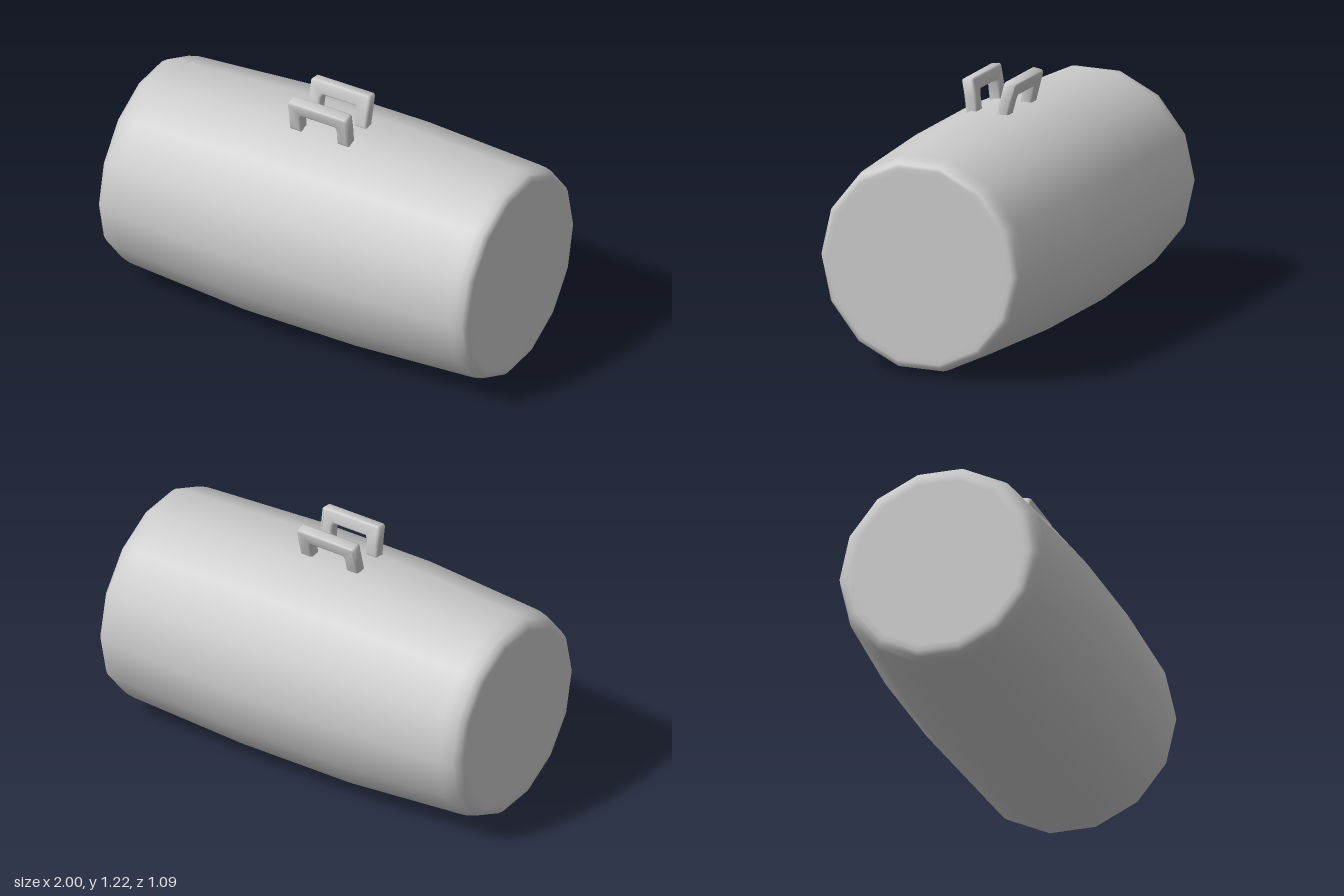
import * as THREE from 'three';
import { toCreasedNormals } from 'three/addons/utils/BufferGeometryUtils.js';

const material = new THREE.MeshStandardMaterial({ color: 0xcccccc });
const CENTRE_Y = 0.535;

// Padded barrel: 14-sided lathe laid along x, the right end a little softer
function makeBody() {
  const profile = [
    [0, -1], [0.42, -1], [0.45, -1], [0.475, -0.99], [0.493, -0.965], [0.505, -0.92], [0.508, -0.89],
    [0.547, -0.29], [0.547, 0.31],
    [0.519, 0.91], [0.516, 0.945], [0.508, 0.98], [0.492, 0.997], [0.475, 1], [0.45, 1], [0, 1],
  ].map(([r, x]) => new THREE.Vector2(r, x));
  const geometry = new THREE.LatheGeometry(profile, 14);
  geometry.rotateZ(-Math.PI / 2);
  const body = new THREE.Mesh(geometry, material);
  body.name = 'bagBody';
  body.position.y = CENTRE_Y;
  return body;
}

// Square carry handle; lean lists [y, z] along the leg, followed by bending
function makeHandle(name, lean) {
  const outline = [
    [-0.155, 1.06], [-0.09, 1.06], [-0.09, 1.14], [-0.083, 1.155],
    [0.093, 1.155], [0.1, 1.14], [0.1, 1.06], [0.165, 1.06],
    [0.165, 1.14], [0.165, 1.212], [0.155, 1.222],
    [-0.145, 1.222], [-0.155, 1.212], [-0.155, 1.14],
  ].map(([x, y]) => new THREE.Vector2(x, y));
  const bevel = 0.012, depth = 0.06;
  const geometry = new THREE.ExtrudeGeometry(new THREE.Shape(outline), {
    depth: depth - 2 * bevel, bevelEnabled: true, bevelThickness: bevel,
    bevelSize: bevel, bevelOffset: -bevel, bevelSegments: 2,
  });
  geometry.translate(0, 0, bevel - depth / 2);

  // Shift each height to its place on the leaning line
  const p = geometry.attributes.position;
  for (let i = 0; i < p.count; i++) {
    const y = p.getY(i);
    const k = y < lean[1][0] ? 0 : 1;
    const [y0, z0] = lean[k], [y1, z1] = lean[k + 1];
    const z = p.getZ(i);
    p.setZ(i, z + z0 + (z1 - z0) * (y - y0) / (y1 - y0));
    p.setY(i, y + z * (name === 'frontHandle' ? -0.18 : 0.18));
  }
  const handle = new THREE.Mesh(toCreasedNormals(geometry, 0.9), material);
  handle.name = name;
  return handle;
}

export function createModel() {
  const bag = new THREE.Group();
  bag.name = 'duffelBag';
  bag.add(
    makeBody(),
    makeHandle('frontHandle', [[1.06, 0.122], [1.14, 0.131], [1.222, 0.146]]),
    makeHandle('backHandle', [[1.06, -0.033], [1.14, -0.054], [1.222, -0.075]]),
  );
  return bag;
}
